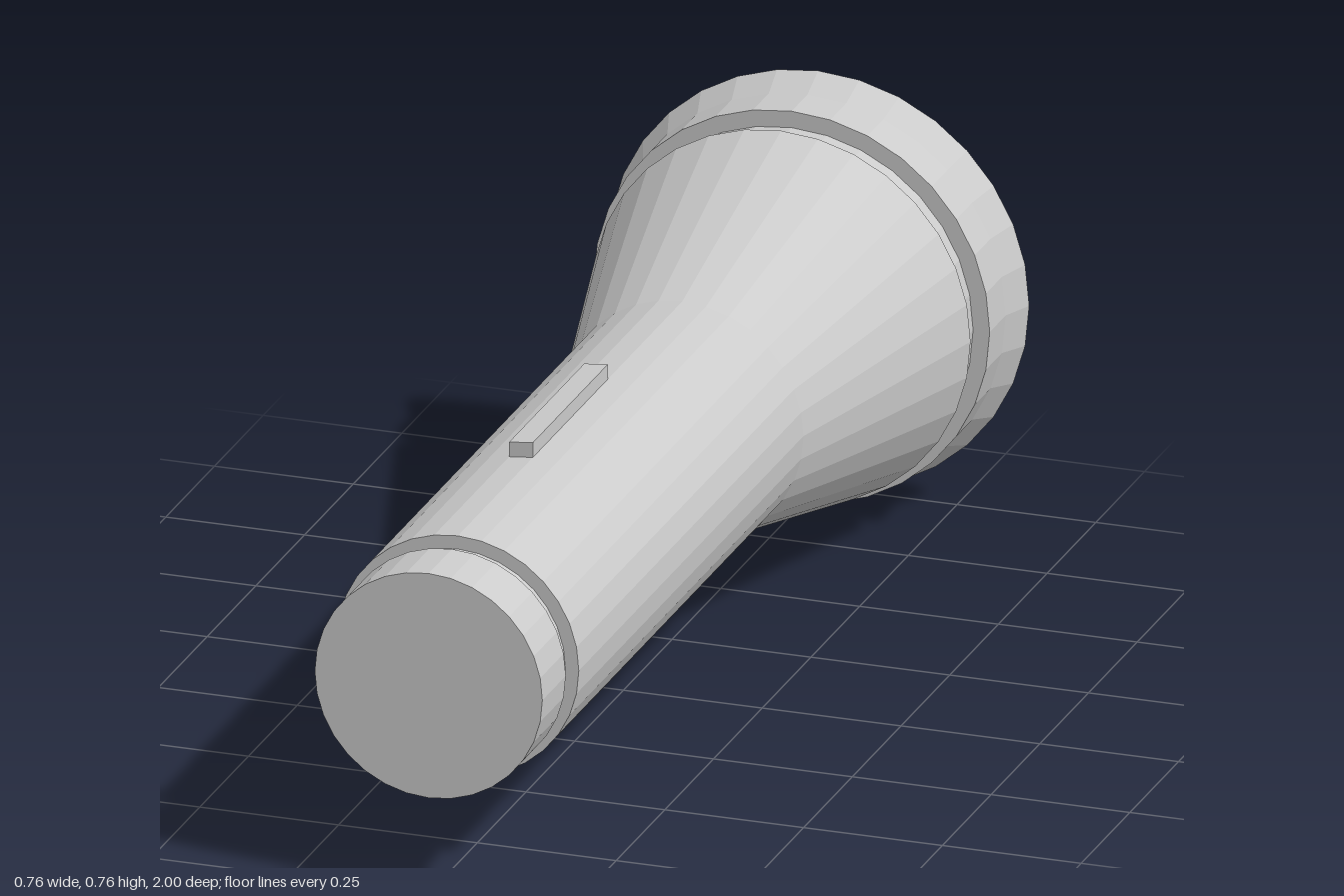
import * as THREE from 'three';

const SIDES = 32;
const AXIS_Y = 0.38;
const BODY_R = 0.218;

export function createModel() {
  const group = new THREE.Group();
  const material = new THREE.MeshStandardMaterial({ color: 0xcccccc, flatShading: true });

  const add = (name, geometry) => {
    const mesh = new THREE.Mesh(geometry, material);
    mesh.name = name;
    mesh.position.y = AXIS_Y;
    group.add(mesh);
  };

  // Turned part along the z axis, from [radius, z] pairs running lens to tail
  const turned = (name, profile) => {
    const points = profile.map(([r, z]) => new THREE.Vector2(r, z));
    add(name, new THREE.LatheGeometry(points, SIDES).rotateX(Math.PI / 2));
  };

  // Hollow head: bulb plate, reflector cone, thin rim
  turned('bulbPlate', [[0, -0.715], [0.157, -0.715]]);
  turned('reflector', [[0.157, -0.715], [0.357, -1]]);
  turned('bezel', [[0.357, -1], [0.38, -1], [0.357, -0.945], [0.357, -0.863], [0.327, -0.863]]);
  turned('headGroove', [[0.327, -0.863], [0.327, -0.81]]);
  turned('head', [[0.327, -0.81], [0.341, -0.81], [BODY_R, -0.303]]);

  // Handle and screw-on tail cap
  turned('handle', [[BODY_R, -0.303], [BODY_R, 0.85], [0.194, 0.85]]);
  turned('tailGroove', [[0.194, 0.85], [0.194, 0.88]]);
  turned('tailCap', [[0.194, 0.88], [0.205, 0.88], [0.205, 1], [0, 1]]);

  // Slide switch raised from the facet just beside the top edge
  const step = (2 * Math.PI) / SIDES;
  const x = -BODY_R * Math.sin(step), y = BODY_R * Math.cos(step), rise = 0.027;
  const outline = new THREE.Shape([
    new THREE.Vector2(x, y - 0.005),
    new THREE.Vector2(0, BODY_R - 0.005),
    new THREE.Vector2(0, BODY_R + rise),
    new THREE.Vector2(x, y + rise),
  ]);
  add('slideSwitch', new THREE.ExtrudeGeometry(outline, { depth: 0.385, bevelEnabled: false }).translate(0, 0, 0.08));

  return group;
}
